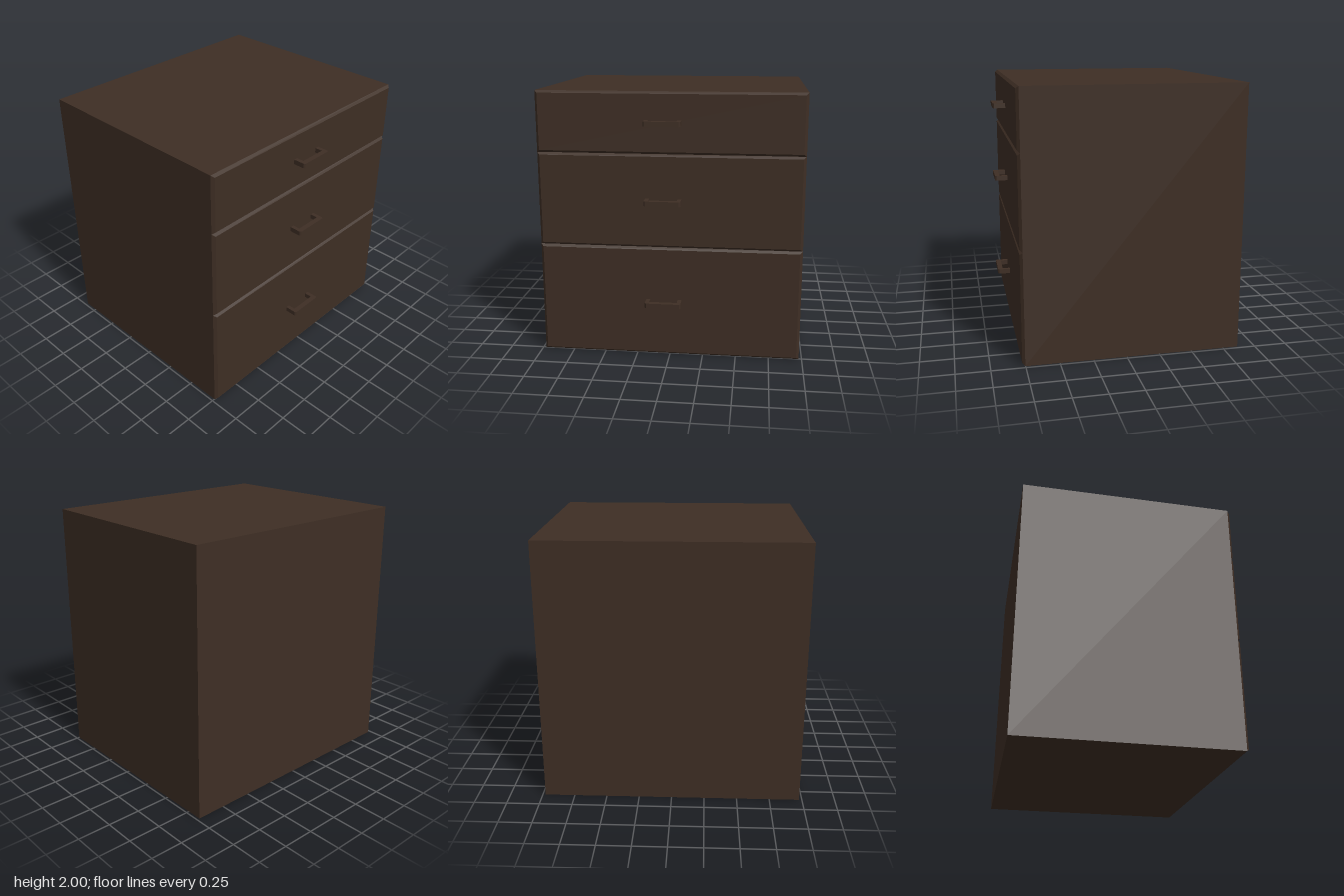
import * as THREE from 'three';

const HALF_W = 0.978, BACK = -0.868, FRONT = 0.772, BEVEL = 0.02;

// Drawer front: a thin slab whose front rim is chamfered on all four sides
function drawerFront(y0, y1) {
  const g = new THREE.BoxGeometry(HALF_W * 2, y1 - y0, BEVEL);
  const p = g.attributes.position;
  for (let i = 0; i < p.count; i++) {
    if (p.getZ(i) > 0) {
      p.setX(i, p.getX(i) - Math.sign(p.getX(i)) * BEVEL);
      p.setY(i, p.getY(i) - Math.sign(p.getY(i)) * 0.017);
    }
  }
  g.computeVertexNormals();
  g.translate(0, (y0 + y1) / 2, FRONT - BEVEL / 2);
  return g;
}

// Pull handle: U-shaped bar with clipped outer corners, seen from above
function pullHandle() {
  const xa = -0.177, xb = 0.09, t = 0.03, out = 0.868, inner = 0.83, c = 0.01;
  const s = new THREE.Shape([
    [xa, FRONT], [xa + t, FRONT], [xa + t, inner], [xb - t, inner],
    [xb - t, FRONT], [xb, FRONT], [xb, out - c], [xb - c, out],
    [xa + c, out], [xa, out - c],
  ].map(([x, z]) => new THREE.Vector2(x, z)));
  const h = 0.036;
  const g = new THREE.ExtrudeGeometry(s, { depth: h, bevelEnabled: false });
  g.rotateX(Math.PI / 2);
  g.translate(0, h / 2, 0);
  return g;
}

export function createModel() {
  const root = new THREE.Group();
  root.name = 'drawerCabinet';
  const wood = new THREE.MeshStandardMaterial({ color: 0x3e2e24 });
  wood.name = 'dark brown wood';

  const add = (geometry, name, parent = root) => {
    const m = new THREE.Mesh(geometry, wood);
    m.name = name;
    parent.add(m);
    return m;
  };

  // Cabinet body
  const depth = FRONT - BEVEL - BACK;
  const body = add(new THREE.BoxGeometry(HALF_W * 2, 2, depth), 'cabinetBody');
  body.position.set(0, 1, BACK + depth / 2);

  // Three drawers, each with its handle
  const handle = pullHandle();
  [
    ['bottomDrawer', 0, 0.85, 0.425],
    ['middleDrawer', 0.85, 1.55, 1.205],
    ['topDrawer', 1.55, 2, 1.78],
  ].forEach(([name, y0, y1, handleY]) => {
    const drawer = new THREE.Group();
    drawer.name = name;
    root.add(drawer);
    add(drawerFront(y0, y1), 'drawerFront', drawer);
    add(handle, 'handle', drawer).position.y = handleY;
  });

  return root;
}
